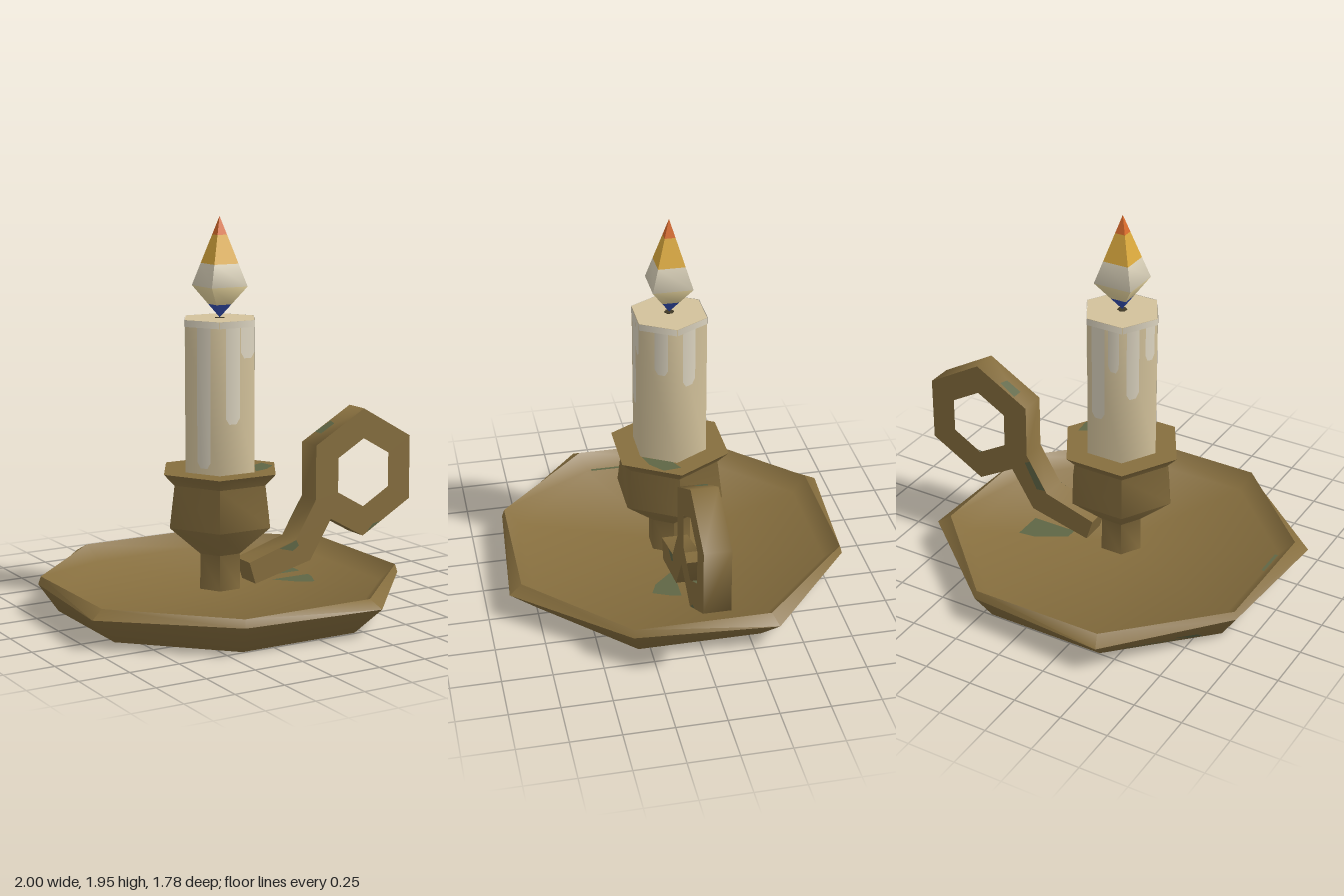
import * as THREE from 'three';
import { toCreasedNormals } from 'three/addons/utils/BufferGeometryUtils.js';

const CX = -0.107; // axis of plate, cup and candle

const paint = (name, color, side = THREE.FrontSide) => {
  const m = new THREE.MeshStandardMaterial({ color, side });
  m.name = name;
  return m;
};

// Turned part from [radius, y] points with a low number of sides
const turned = (points, sides, start) =>
  new THREE.LatheGeometry(points.map(([r, y]) => new THREE.Vector2(r, y)), sides, start);

// Octagonal plate layer; every second corner of the given ring is pulled in
function plateLayer(points, ring, crease) {
  const g = turned(points, 8, Math.PI / 8);
  const p = g.attributes.position;
  for (let i = 1; i <= 8; i += 2) {
    const k = i * points.length + ring;
    p.setXYZ(k, p.getX(k) * 0.942, p.getY(k), p.getZ(k) * 0.942);
  }
  return toCreasedNormals(g, crease);
}

// Thin painted polygon from 3D corners
function patchGeometry(corners) {
  const g = new THREE.BufferGeometry();
  g.setAttribute('position', new THREE.Float32BufferAttribute(corners.flat(), 3));
  const index = [];
  for (let i = 1; i < corners.length - 1; i++) index.push(0, i, i + 1);
  g.setIndex(index);
  g.computeVertexNormals();
  return g;
}

export function createModel() {
  const group = new THREE.Group();
  const brass = paint('brass', 0x866e3e);
  const wax = paint('wax', 0xd3c29b);
  const drip = paint('wax drip', 0xdcd4c0, THREE.DoubleSide);
  const verdigris = paint('verdigris', 0x5f6645, THREE.DoubleSide);
  const wickBrown = paint('wick', 0x3f3826);
  const flameColours = [
    paint('flame blue', 0x324db0), paint('flame cream', 0xe2d09a), paint('flame white', 0xdbd2ba),
    paint('flame yellow', 0xdcaa3e), paint('flame orange', 0xda6c2c),
  ];

  const add = (name, geometry, material, x = 0, y = 0, z = 0) => {
    const mesh = new THREE.Mesh(geometry, material);
    mesh.name = name;
    mesh.position.set(x, y, z);
    group.add(mesh);
    return mesh;
  };

  // Octagonal plate: sloping underside, rim band and sunken floor
  add('plateUnderside', plateLayer([[0, 0], [0.81, 0], [0.964, 0.14]], 2, 1.2), brass, CX);
  add('plateTop', plateLayer([[0.964, 0.14], [0.895, 0.18], [0.815, 0.1], [0, 0.1]], 0, 0.95), brass, CX);

  // Hexagonal cup on its stem
  add('cup', toCreasedNormals(turned(
    [[0.115, 0.095], [0.113, 0.28], [0.285, 0.43], [0.257, 0.64], [0.315, 0.7], [0, 0.7]],
    6, Math.PI / 2), 1.2), brass, CX);

  // Candle
  add('candle', toCreasedNormals(
    turned([[0.195, 0.69], [0.195, 1.453], [0, 1.453]], 6, Math.PI / 2), 1.2), wax, CX);
  add('wick', new THREE.CylinderGeometry(0.025, 0.025, 0.006, 6), wickBrown, CX, 1.452);

  // Wax drips on each candle face: [centre, width, lower end]
  const drips = {
    30: [[0.017, 0.07, 1.19]],
    90: [[-0.025, 0.08, 0.95], [0.058, 0.078, 1.27]],
    150: [[0.01, 0.075, 0.73]],
    210: [[-0.04, 0.07, 1.05], [0.055, 0.05, 1.24]],
    270: [[-0.035, 0.07, 0.92], [0.05, 0.06, 1.2]],
    330: [[-0.022, 0.08, 1.12]],
  };
  const polygon = (pts) => new THREE.Shape(pts.map(([x, y]) => new THREE.Vector2(x, y)));
  for (const [deg, list] of Object.entries(drips)) {
    const a = THREE.MathUtils.degToRad(Number(deg));
    const shapes = list.map(([c, w, end]) => {
      const h = w / 2;
      return polygon([[c - h, 1.42], [c - h, end + 0.03], [c - h * 0.5, end],
        [c + h * 0.5, end], [c + h, end + 0.03], [c + h, 1.42]]);
    });
    shapes.push(polygon([[-0.0975, 1.42], [0.0975, 1.42], [0.0975, 1.453], [-0.0975, 1.453]]));
    const g = new THREE.ShapeGeometry(shapes);
    // Normals follow the rounded shading of the candle
    const { position, normal } = g.attributes;
    for (let i = 0; i < position.count; i++) {
      const v = new THREE.Vector3(position.getX(i), 0, 0.169).normalize();
      normal.setXYZ(i, v.x, 0, v.z);
    }
    const mesh = add('waxDrips', g, drip, CX + Math.cos(a) * 0.172, 0, Math.sin(a) * 0.172);
    mesh.rotation.y = Math.PI / 2 - a;
  }

  // Four-sided flame in colour bands
  const flame = turned([1.455, 1.52, 1.61, 1.72, 1.86, 1.95].map((y) =>
    [Math.SQRT2 * 0.1 * (y <= 1.61 ? (y - 1.455) / 0.155 : (1.95 - y) / 0.34), y]), 4, Math.PI / 4);
  for (let side = 0; side < 4; side++) {
    for (let band = 0; band < 5; band++) flame.addGroup((side * 5 + band) * 6, 6, band);
  }
  add('flame', toCreasedNormals(flame, 1), flameColours, CX);

  // Handle: hexagonal ring with a bent arm reaching the stem
  const ring = (R, i) => {
    const a = Math.PI / 2 - i * Math.PI / 3;
    return new THREE.Vector2(0.708 + R * Math.cos(a), 0.608 + R * Math.sin(a));
  };
  const outline = [0, 1, 2, 3].map((i) => ring(0.335, i));
  [[0.51, 0.385], [0.385, 0.183], [0.06, 0.103], [0.025, 0.215], [0.3, 0.3], [0.418, 0.495]]
    .forEach(([x, y]) => outline.push(new THREE.Vector2(x, y)));
  outline.push(ring(0.335, 5));
  const shape = new THREE.Shape(outline);
  shape.holes.push(new THREE.Path([0, 1, 2, 3, 4, 5].map((i) => ring(0.179, i))));
  add('handle', toCreasedNormals(
    new THREE.ExtrudeGeometry(shape, { depth: 0.134, bevelEnabled: false }), 1.1), brass, 0, 0, -0.067);

  // Verdigris stains
  const stain = (corners) => add('verdigrisStain', patchGeometry(corners), verdigris);
  const flat = (y, pts) => stain(pts.map(([x, z]) => [x, y, z]));
  const upright = (z, pts) => stain(pts.map(([x, y]) => [x, y, z]));
  // On a sloping side of the plate: [distance along the side, height]
  const onSide = (deg, pts) => {
    const c = Math.cos(THREE.MathUtils.degToRad(deg));
    const s = Math.sin(THREE.MathUtils.degToRad(deg));
    stain(pts.map(([t, y]) => {
      const r = 0.755 + 0.84 * y;
      return [CX + r * c - t * s, y, r * s + t * c];
    }));
  };
  // Plate floor
  flat(0.104, [[0.15, -0.04], [0.15, -0.1], [0.3, -0.19], [0.39, -0.2], [0.39, -0.04]]);
  flat(0.104, [[0.17, 0.04], [0.39, 0.04], [0.38, 0.09], [0.34, 0.18], [0.27, 0.15]]);
  flat(0.107, [[-0.87, 0.13], [-0.85, 0.13], [-0.85, 0.29], [-0.87, 0.29]]);
  // Cup rim
  flat(0.703, [[0.0, 0.165], [0.08, 0.14], [0.15, 0.08], [0.14, -0.01], [0.08, 0.02]]);
  // Underside and sides of the plate
  flat(-0.003, [[0.55, 0.19], [0.55, -0.19], [0.23, -0.14], [0.23, 0.14]]
    .map(([u, v]) => [CX + 0.5 * u - 0.87 * v, -0.87 * u - 0.5 * v]));
  onSide(-45, [[-0.17, 0.01], [-0.03, 0.01], [-0.04, 0.04], [-0.16, 0.04]]);
  onSide(225, [[-0.2, 0.03], [0.2, 0.03], [0.16, 0.07], [-0.16, 0.07]]);
  // Handle
  upright(0.069, [[0.2, 0.266], [0.3, 0.299], [0.316, 0.27], [0.28, 0.245]]);
  upright(0.069, [[0.73, 0.29], [0.82, 0.34], [0.77, 0.33]]);
  upright(-0.069, [[0.31, 0.315], [0.4, 0.465], [0.43, 0.45], [0.36, 0.31]]);
  stain([[0.49, 0.822, 0], [0.49, 0.822, -0.06], [0.58, 0.873, -0.05], [0.57, 0.867, 0]]);

  return group;
}
